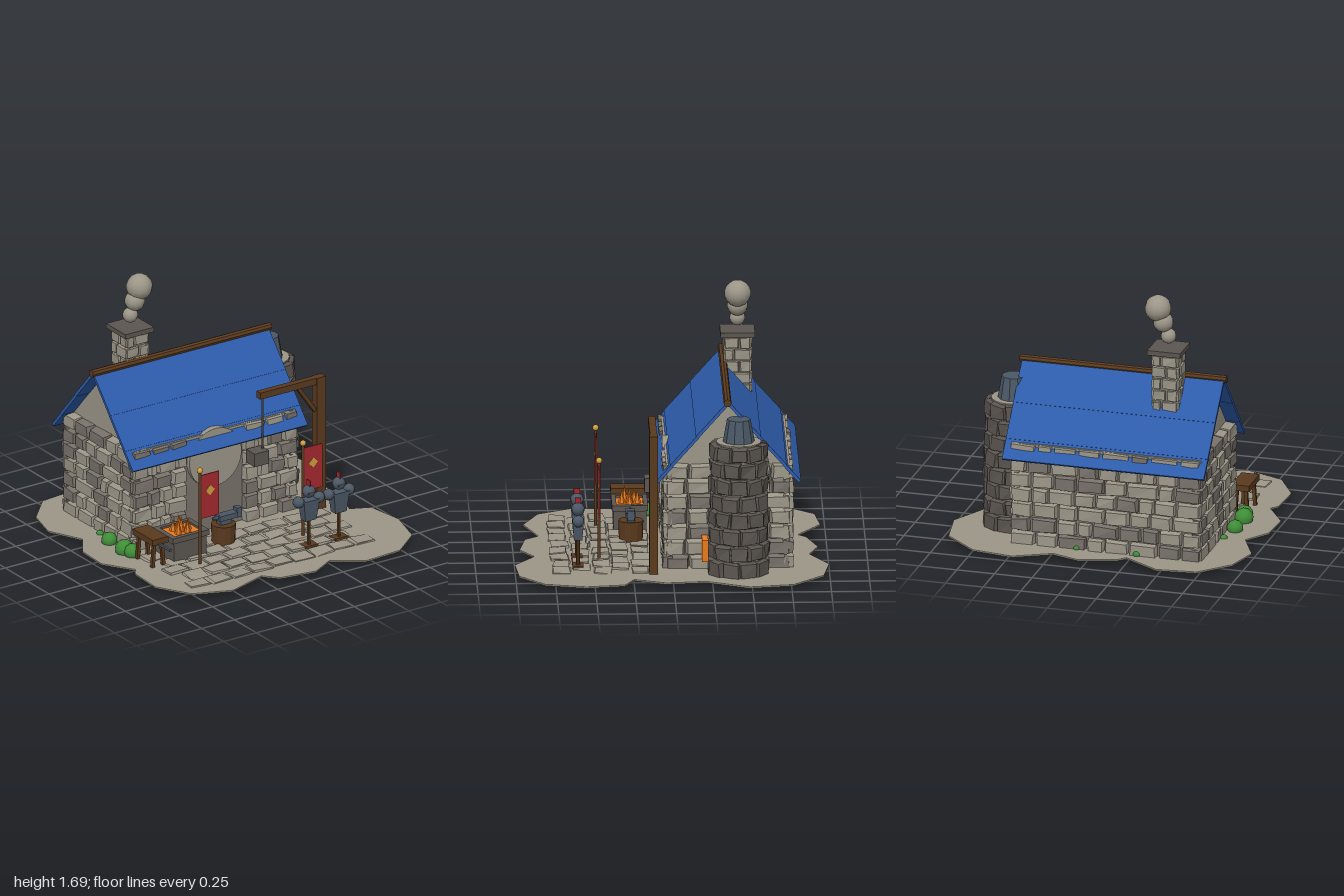
import * as THREE from 'three';
import { mergeGeometries } from 'three/addons/utils/BufferGeometryUtils.js';

const mat = (name, color) => Object.assign(new THREE.MeshStandardMaterial({ color }), { name });

let seed = 7;
const rnd = () => (seed = (seed * 16807) % 2147483647) / 2147483647;
const jit = (a) => (rnd() - 0.5) * 2 * a;

const flat = (g) => {
  const f = g.index ? g.toNonIndexed() : g;
  f.computeVertexNormals();
  return f;
};

// Rough-cut block: outer face (+z) a little smaller, corners nudged
function stone(w, h, d, j = 0.006, inset = 0.01) {
  const g = new THREE.BoxGeometry(w, h, d);
  const p = g.attributes.position;
  const off = Array.from({ length: 8 }, () => [jit(j), jit(j), jit(j)]);
  for (let i = 0; i < p.count; i++) {
    const x = p.getX(i), y = p.getY(i), z = p.getZ(i);
    const o = off[(x > 0) + 2 * (y > 0) + 4 * (z > 0)];
    const k = z > 0 ? inset : 0;
    p.setXYZ(i, x - Math.sign(x) * k + o[0], y - Math.sign(y) * k + o[1], z + o[2]);
  }
  return flat(g);
}

export function createModel() {
  const root = new THREE.Group();
  root.name = 'blacksmithShop';
  const light = mat('lightStone', 0x9c9688), mid = mat('midStone', 0x78726a), dark = mat('darkStone', 0x5b5550);
  const wood = mat('wood', 0x5a3a1e), blue = mat('roofBlue', 0x2d5cab), steel = mat('steel', 0x4b5866);
  const red = mat('clothRed', 0xa3282f), gold = mat('gold', 0xcf9f3c), orange = mat('fireOrange', 0xe87a1e);
  const green = mat('leafGreen', 0x3f8f38);

  const add = (name, geo, m, x = 0, y = 0, z = 0, parent = root) => {
    const mesh = new THREE.Mesh(geo, m);
    mesh.name = name;
    mesh.position.set(x, y, z);
    parent.add(mesh);
    return mesh;
  };
  // Box given by its limits
  const span = (name, m, x0, x1, y0, y1, z0, z1, parent = root) =>
    add(name, new THREE.BoxGeometry(x1 - x0, y1 - y0, z1 - z0), m, (x0 + x1) / 2, (y0 + y1) / 2, (z0 + z1) / 2, parent);
  const cyl = (rt, rb, h, n) => flat(new THREE.CylinderGeometry(rt, rb, h, n));
  const ball = (r) => new THREE.SphereGeometry(r, 12, 9);

  // Ground plate with a scalloped edge
  const edge = [[-.93, -.75], [-.75, -.94], [-.49, -.97], [-.25, -.82], [-.2, -.87], [.04, -.94], [.22, -.88], [.46, -1],
    [.73, -.96], [.95, -.76], [1, -.48], [.86, -.21], [.89, .05], [.8, .25], [.93, .31], [.97, .56], [.9, .82], [.7, .98],
    [.43, 1], [.23, .87], [.07, .96], [-.18, .92], [-.26, .83], [-.54, .92], [-.79, .82], [-.92, .6], [-.91, .35],
    [-.87, .3], [-1, .1], [-.99, -.13], [-.88, -.29], [-.99, -.52]];
  const outline = new THREE.Shape(edge.map(([x, z]) => new THREE.Vector2(x, -z)));
  const groundGeo = new THREE.ExtrudeGeometry(outline, { depth: 0.01, bevelEnabled: false }).rotateX(-Math.PI / 2);
  add('ground', groundGeo, light, 0, 0.03, 0);

  // Paving stones in staggered rows
  const paving = [];
  [.2, .33, .45, .58, .71].forEach((z, r) => {
    const odd = r % 2;
    for (let i = 0; i < (odd ? 8 : 9); i++) {
      paving.push(stone(.145, .112, .014, .007, .004).rotateX(-Math.PI / 2).rotateY(jit(.08))
        .translate(-.67 + odd * .07 + i * .157, .043, z + jit(.008)));
    }
  });
  add('paving', mergeGeometries(paving), light);

  // House: dark core and light gable block
  const CX = -0.09, CZ = -0.355;
  span('houseCore', mid, -.66, .48, .024, .7, -.73, .02);
  const gable = new THREE.Shape([[-.395, .68], [.395, .68], [.395, .715], [.36, .715], [0, 1.11], [-.36, .715], [-.395, .715]]
    .map(([a, b]) => new THREE.Vector2(a, b)));
  const gableGeo = new THREE.ExtrudeGeometry(gable, { depth: 1.15, bevelEnabled: false })
    .translate(0, 0, -.575).rotateY(Math.PI / 2);
  add('gables', gableGeo, light, CX, 0, CZ);

  // Stone walls, one course after another on each side
  const lightStones = [], midStones = [];
  const sides = [[1.27, .385, 0], [.8, .605, Math.PI / 2], [1.27, .385, Math.PI], [.8, .605, -Math.PI / 2]];
  sides.forEach(([len, dist, turn], s) => {
    for (let r = 0; r < 7; r++) {
      const runs = s === 0 ? [[-len / 2, -.215], [.215, len / 2]] : [[-len / 2, len / 2]];
      for (const [a, b] of runs) {
        const n = Math.max(2, Math.round((b - a) / .155) + (r % 2));
        const cuts = Array.from({ length: n + 1 }, (_, i) =>
          a + (b - a) * (i === 0 || i === n ? i / n : (i + jit(.22)) / n));
        for (let i = 0; i < n; i++) {
          const w = cuts[i + 1] - cuts[i];
          const g = stone(w - .008, .094, .06 + jit(.008), .005)
            .translate((cuts[i] + cuts[i + 1]) / 2, .07 + r * .1, dist).rotateY(turn).translate(CX, 0, CZ);
          (rnd() < .68 ? lightStones : midStones).push(g);
        }
      }
    }
  });
  add('wallStonesLight', mergeGeometries(lightStones), light);
  add('wallStonesMid', mergeGeometries(midStones), mid);

  // Round stone arch panel over the doorway
  add('doorArch', new THREE.CylinderGeometry(.2, .2, .05, 32).rotateX(Math.PI / 2), light, CX, .54, .025);

  // Roof: three overlapping boards on each slope, and a ridge pole
  for (const side of [1, -1]) {
    const slope = new THREE.Group();
    slope.name = side > 0 ? 'frontRoof' : 'backRoof';
    slope.position.set(CX, 1.135, CZ);
    slope.rotation.y = side > 0 ? 0 : Math.PI;
    const tilt = new THREE.Group();
    tilt.name = 'roofSlope';
    tilt.rotation.x = Math.atan2(.515, .46);
    slope.add(tilt);
    [[0, .3], [.29, .55], [.54, .69]].forEach(([a, b], i) =>
      span('roofBoard', blue, -.67, .67, -.01 - i * .003, .01 - i * .003, a, b, tilt));
    root.add(slope);
  }
  add('ridgePole', cyl(.025, .025, 1.37, 8).rotateZ(Math.PI / 2), wood, CX, 1.14, CZ + .005);

  // Chimney of stacked blocks with a cap
  span('chimneyCore', mid, -.485, -.345, .93, 1.32, -.515, -.365);
  const chimney = [];
  for (let r = 0; r < 5; r++) for (let s = 0; s < 4; s++) {
    const split = (r + s) % 2 ? .01 : -.025;
    for (const [a, b] of [[-.085, split], [split, .085]]) {
      chimney.push(stone(b - a - .006, .072, .03, .004, .005).translate((a + b) / 2, .975 + r * .077, .075)
        .rotateY(s * Math.PI / 2).translate(-.415, 0, -.44));
    }
  }
  add('chimneyStones', mergeGeometries(chimney), light);
  span('chimneyCap', dark, -.525, -.305, 1.325, 1.357, -.55, -.33);
  [[-.415, 1.43, .05], [-.38, 1.52, .066], [-.345, 1.61, .086]].forEach(([x, y, r]) => add('smokePuff', ball(r), light, x, y, -.44));

  // Round furnace tower with a metal funnel
  const TX = .62, TZ = -.42, ring = [];
  add('towerCore', new THREE.CylinderGeometry(.145, .16, .87, 20), mid, TX, .458, TZ);
  add('towerTop', new THREE.CylinderGeometry(.143, .143, .008, 20), light, TX, .895, TZ);
  for (let r = 0; r < 8; r++) for (let i = 0; i < 10; i++) {
    const rad = .168 - r * .0025;
    ring.push(stone(.122 - r * .001, .104, .05 + jit(.01), .007).translate(0, .085 + r * .108, rad)
      .rotateY((i + (r % 2) / 2 + jit(.06)) * Math.PI / 5).translate(TX, 0, TZ));
  }
  add('towerStones', mergeGeometries(ring), dark);
  add('funnel', cyl(.075, .102, .15, 10), steel, TX, .97, TZ);
  span('furnaceMouth', orange, .55, .68, .12, .26, -.225, -.185);

  // Gallows post with hanging weight
  span('post', wood, .62, .69, .03, .95, .095, .15);
  span('postBeam', wood, .19, .69, .905, .95, .1, .145);
  const brace = add('postBrace', new THREE.BoxGeometry(.23, .025, .03), wood, .555, .815, .122);
  brace.rotation.z = -.96;
  span('hangingRope', dark, .217, .225, .54, .91, .118, .126);
  span('hangingWeight', dark, .13, .24, .46, .55, .07, .17);

  // Banners with gold finial and diamond
  for (const x of [-.485, .305]) {
    add('bannerPole', new THREE.CylinderGeometry(.01, .01, .65, 8), wood, x, .36, .46);
    add('bannerFinial', ball(.02), gold, x, .69, .46);
    span('bannerCloth', red, x + .005, x + .145, .355, .655, .456, .464);
    add('bannerDiamond', new THREE.BoxGeometry(.05, .05, .014).rotateZ(Math.PI / 4), gold, x + .075, .54, .46);
  }

  // Armour stands
  for (const x of [.255, .485]) {
    const g = new THREE.Group();
    g.name = 'armourStand';
    g.position.set(x, 0, .6);
    root.add(g);
    span('standBase', wood, -.05, .05, .028, .055, -.035, .035, g);
    add('standPole', cyl(.012, .012, .22, 8), wood, 0, .14, 0, g);
    add('breastplate', cyl(.085, .06, .14, 4).rotateY(Math.PI / 4).scale(1, 1, .62), steel, 0, .295, 0, g);
    for (const s of [-1, 1]) add('shoulder', ball(.038), steel, s * .078, .36, 0, g);
    add('helmet', ball(.043), steel, 0, .42, 0, g);
    span('visor', dark, -.03, .03, .415, .424, .036, .044, g);
    span('plume', red, -.005, .005, .44, .495, -.02, .02, g);
  }

  // Hearth with rim, embers and flames
  span('hearth', dark, -.61, -.36, .025, .19, .14, .35);
  for (const [x0, x1, z0, z1] of [[-.625, -.59, .13, .36], [-.38, -.345, .13, .36], [-.59, -.38, .13, .16], [-.59, -.38, .33, .36]])
    span('hearthRim', dark, x0, x1, .175, .212, z0, z1);
  span('embers', orange, -.59, -.38, .19, .198, .16, .33);
  for (let i = 0; i < 6; i++) {
    const a = i * Math.PI * .4, r = i < 5 ? .052 : 0, h = .08 + .012 * (i % 3);
    add('flame', flat(new THREE.ConeGeometry(.025, h, 6)), orange, -.485 + r * Math.cos(a), .195 + h / 2, .245 + r * Math.sin(a));
  }

  // Anvil on a stump
  add('stump', cyl(.08, .075, .145, 12), wood, -.16, .098, .245);
  span('anvilWaist', steel, -.195, -.11, .17, .205, .22, .27);
  span('anvilBody', steel, -.21, -.07, .2, .235, .218, .278);
  add('anvilHorn', cyl(.008, .02, .05, 6).rotateZ(Math.PI / 2), steel, -.222, .22, .248);
  span('anvilHeel', steel, -.072, -.035, .195, .26, .225, .27);

  // Workbench with a blade on it
  span('benchTop', wood, -.78, -.66, .2, .24, .13, .36);
  for (const x of [-.755, -.685]) for (const z of [.16, .33])
    add('benchLeg', new THREE.BoxGeometry(.022, .18, .022), wood, x, .12, z).rotation.z = (x + .72) * 2;
  span('blade', steel, -.73, -.715, .192, .207, .2, .48);

  // Bushes and tufts
  [[-.77, .06, -.15, .052], [-.775, .065, .03, .062], [-.76, .065, .1, .055], [-.74, .04, -.3, .024],
    [-.3, .05, -.765, .025], [.1, .045, -.76, .02]].forEach(([x, y, z, r]) => {
    const b = add('bush', new THREE.IcosahedronGeometry(r, 1), green, x, y, z);
    b.rotation.set(x * 9, z * 7, 0);
  });
  return root;
}
